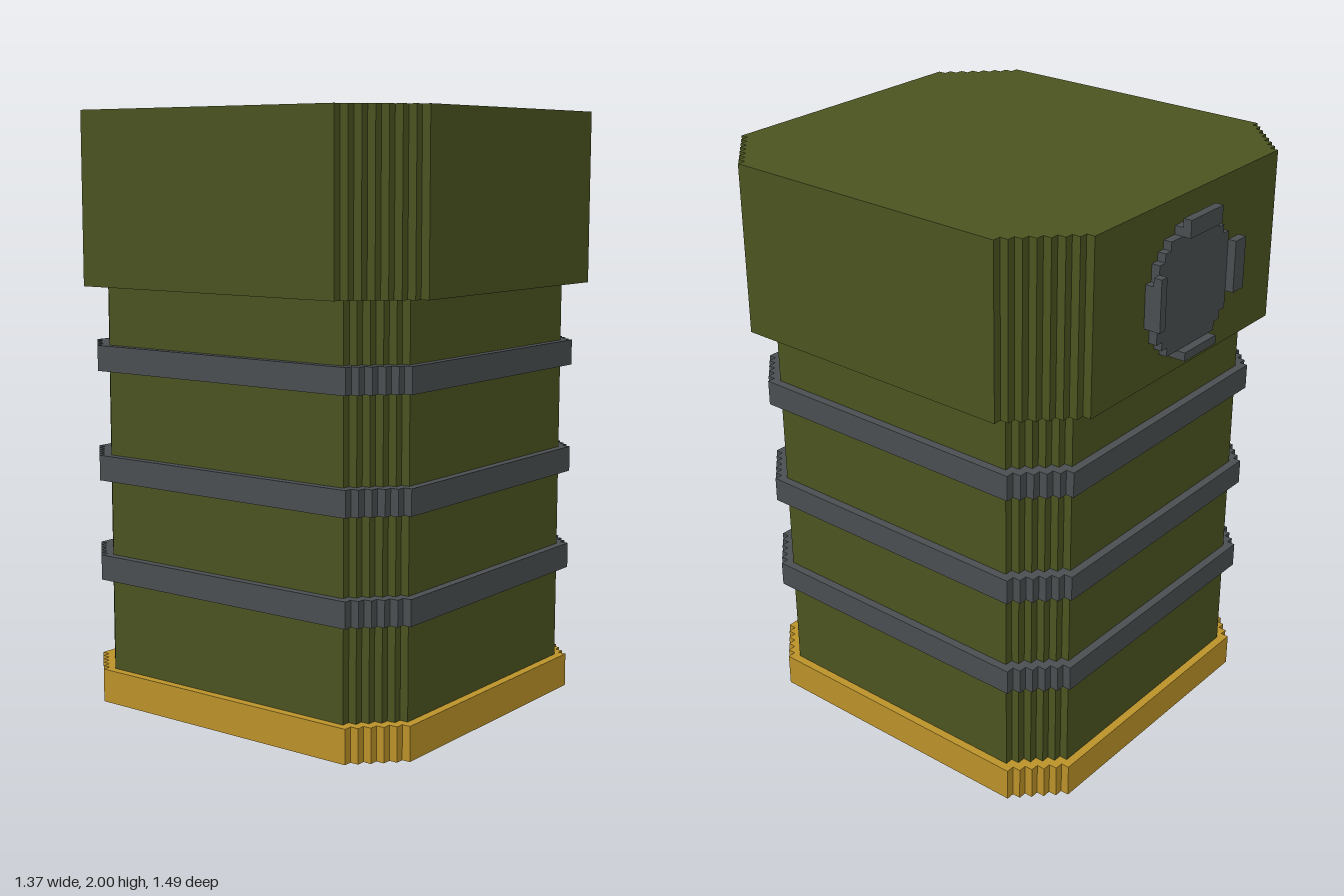
import * as THREE from 'three';

const U = 1 / 35; // one block step

const paint = (name, color) => Object.assign(new THREE.MeshStandardMaterial({ color }), { name });

// Rectangle of half size hx, hz with staircase corners
function steppedShape(hx, hz, steps) {
  const corner = [];
  for (let i = 0; i <= steps; i++) {
    corner.push([hx - i, hz - steps + i]);
    if (i < steps) corner.push([hx - i - 1, hz - steps + i]);
  }
  const back = [...corner].reverse();
  return new THREE.Shape([
    ...corner,
    ...back.map(([x, z]) => [-x, z]),
    ...corner.map(([x, z]) => [-x, -z]),
    ...back.map(([x, z]) => [x, -z]),
  ].map(([x, z]) => new THREE.Vector2(x * U, z * U)));
}

export function createModel() {
  const group = new THREE.Group();
  const green = paint('olive green', 0x4b5320);
  const grey = paint('dark grey', 0x4a4e50);
  const ochre = paint('ochre', 0xbb922a);

  const add = (name, geometry, material, x, y, z) => {
    const mesh = new THREE.Mesh(geometry, material);
    mesh.name = name;
    mesh.position.set(x * U, y * U, z * U);
    group.add(mesh);
  };

  // Horizontal slab between two heights
  const slab = (name, hx, steps, y0, y1, material) => {
    const geometry = new THREE.ExtrudeGeometry(steppedShape(hx, hx + 1, steps), {
      depth: (y1 - y0) * U, bevelEnabled: false,
    });
    geometry.rotateX(-Math.PI / 2);
    add(name, geometry, material, 0, y0, 1);
  };

  slab('base', 22, 5, 0, 4, ochre);
  slab('body', 21, 5, 4, 50, green);
  [15, 27, 40].forEach((y, i) => slab('band' + (i + 1), 22, 5, y, y + 3, grey));
  slab('cap', 24, 7, 50, 70, green);

  // Round hatch on the back, outlined row by row as a blocky circle
  const right = [];
  for (let j = -7; j <= 7; j++) {
    const w = Math.floor(Math.sqrt(56.25 - j * j)) + 0.5;
    right.push([w, j - 0.5], [w, j + 0.5]);
  }
  const outline = [...right, ...[...right].reverse().map(([x, y]) => [-x, y])];
  const disc = new THREE.Shape(outline.map(([x, y]) => new THREE.Vector2(x * U, y * U)));
  add('hatchDisc', new THREE.ExtrudeGeometry(disc, { depth: U, bevelEnabled: false }),
    grey, 0.5, 59.5, -25);

  // Raised rim pieces: x range, y range
  const rims = {
    hatchRimTop: [-3, 3, 66, 68],
    hatchRimBottom: [-3, 3, 52, 53],
    hatchRimRight: [-8, -6, 57, 63],
    hatchRimLeft: [7, 8, 57, 63],
  };
  for (const [name, [x0, x1, y0, y1]] of Object.entries(rims)) {
    add(name, new THREE.BoxGeometry((x1 - x0) * U, (y1 - y0) * U, U),
      grey, (x0 + x1) / 2, (y0 + y1) / 2, -25.5);
  }

  return group;
}
